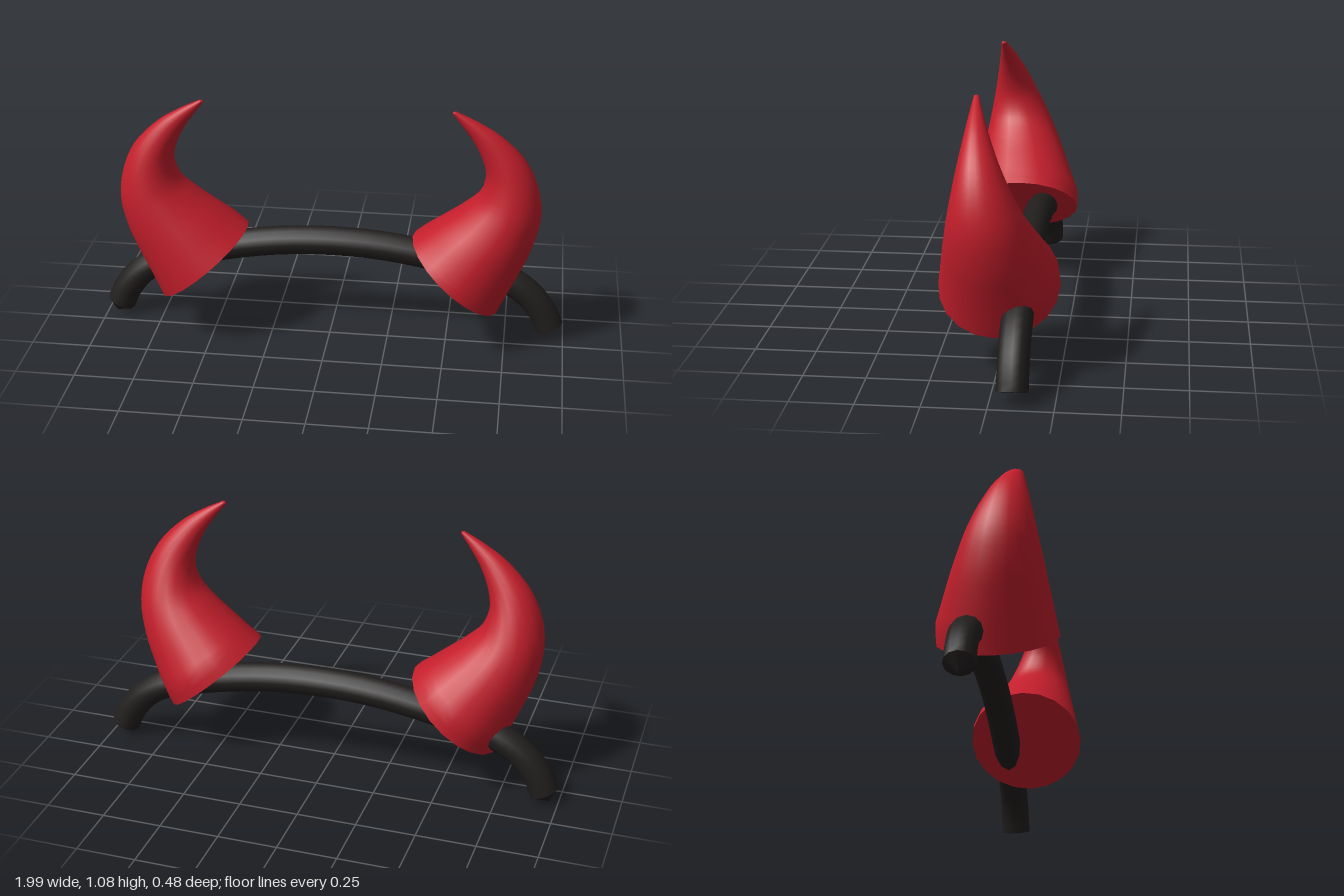
import * as THREE from 'three';

const red = new THREE.MeshStandardMaterial({ color: 0xc41e2b });
const black = new THREE.MeshStandardMaterial({ color: 0x221f1e });

// Skin over elliptical sections {c, u, v}; both ends close to a centre point.
function loft(sections, sides, startTip, endTip, flip = false) {
  const pos = [], index = [];
  const ring = (s) => {
    for (let j = 0; j < sides; j++) {
      const a = (j / sides) * Math.PI * 2;
      const p = s.c.clone().addScaledVector(s.u, Math.cos(a)).addScaledVector(s.v, Math.sin(a));
      pos.push(p.x, p.y, p.z);
    }
  };
  const zero = new THREE.Vector3();
  const first = sections[0], last = sections[sections.length - 1];
  // end rings are doubled so the rims stay sharp
  const all = [{ c: startTip, u: zero, v: zero }, first, ...sections, last, { c: endTip, u: zero, v: zero }];
  all.forEach(ring);
  for (let i = 0; i < all.length - 1; i++) {
    if (i === 1 || i === all.length - 3) continue;
    for (let j = 0; j < sides; j++) {
      const k = (j + 1) % sides;
      const a = i * sides + j, b = i * sides + k, c = a + sides, d = b + sides;
      if (flip) index.push(a, b, c, b, d, c);
      else index.push(a, c, b, b, c, d);
    }
  }
  const g = new THREE.BufferGeometry();
  g.setAttribute('position', new THREE.Float32BufferAttribute(pos, 3));
  g.setIndex(index);
  g.computeVertexNormals();
  return g;
}

const curve = (pts) => new THREE.CatmullRomCurve3(pts.map(([x, y]) => new THREE.Vector3(x, y, 0)));

// Inner and outer edge of the horn, paired from base to tip
const inner = curve([[0.35, 0.49], [0.45, 0.567], [0.555, 0.65], [0.622, 0.72], [0.645, 0.8],
  [0.633, 0.87], [0.592, 0.96], [0.547, 1.025], [0.505, 1.08]]);
const outer = curve([[0.72, 0.18], [0.797, 0.35], [0.852, 0.49], [0.878, 0.63], [0.86, 0.76],
  [0.805, 0.878], [0.705, 0.983], [0.61, 1.045], [0.52, 1.09]]);

function makeHorn(side) {
  const sections = [];
  const steps = 32;
  for (let i = 0; i <= steps; i++) {
    const a = inner.getPoint(i / steps), b = outer.getPoint(i / steps);
    const c = a.clone().add(b).multiplyScalar(0.5);
    const u = b.sub(a).multiplyScalar(0.5);
    // front and back edges taper straight to a tip set forward
    const front = 0.245 - Math.max(0, c.y - 0.32) * 0.19;
    const back = -0.24 + Math.max(0, c.y - 0.39) * 0.46;
    c.z = (front + back) / 2;
    c.x *= side;
    u.x *= side;
    sections.push({ c, u, v: new THREE.Vector3(0, 0, (front - back) / 2) });
  }
  const tip = sections[steps].c.clone().add(new THREE.Vector3(-0.006 * side, 0.004, 0));
  const horn = new THREE.Mesh(loft(sections, 20, sections[0].c, tip, side < 0), red);
  horn.name = side > 0 ? 'leftHorn' : 'rightHorn';
  return horn;
}

function makeHeadband() {
  const half = [[0.2, 0.396], [0.4, 0.367], [0.6, 0.32], [0.74, 0.275], [0.84, 0.21], [0.905, 0.13], [0.94, 0.054]];
  const path = curve([...half.map(([x, y]) => [-x, y]).reverse(), [0, 0.405], ...half]);
  const r = 0.062, z = -0.089, steps = 36, sections = [];
  for (let i = 0; i <= steps; i++) {
    const c = path.getPoint(i / steps), t = path.getTangent(i / steps);
    c.z = z;
    sections.push({ c, u: new THREE.Vector3(t.y, -t.x, 0).multiplyScalar(r), v: new THREE.Vector3(0, 0, r) });
  }
  // one end is a shallow point, the other is cut flat
  const point = sections[0].c.clone().addScaledVector(path.getTangent(0), -0.052);
  const band = new THREE.Mesh(loft(sections, 12, point, sections[steps].c), black);
  band.name = 'headband';
  return band;
}

export function createModel() {
  const group = new THREE.Group();
  group.name = 'hornedHeadband';
  group.add(makeHeadband(), makeHorn(1), makeHorn(-1));
  return group;
}
